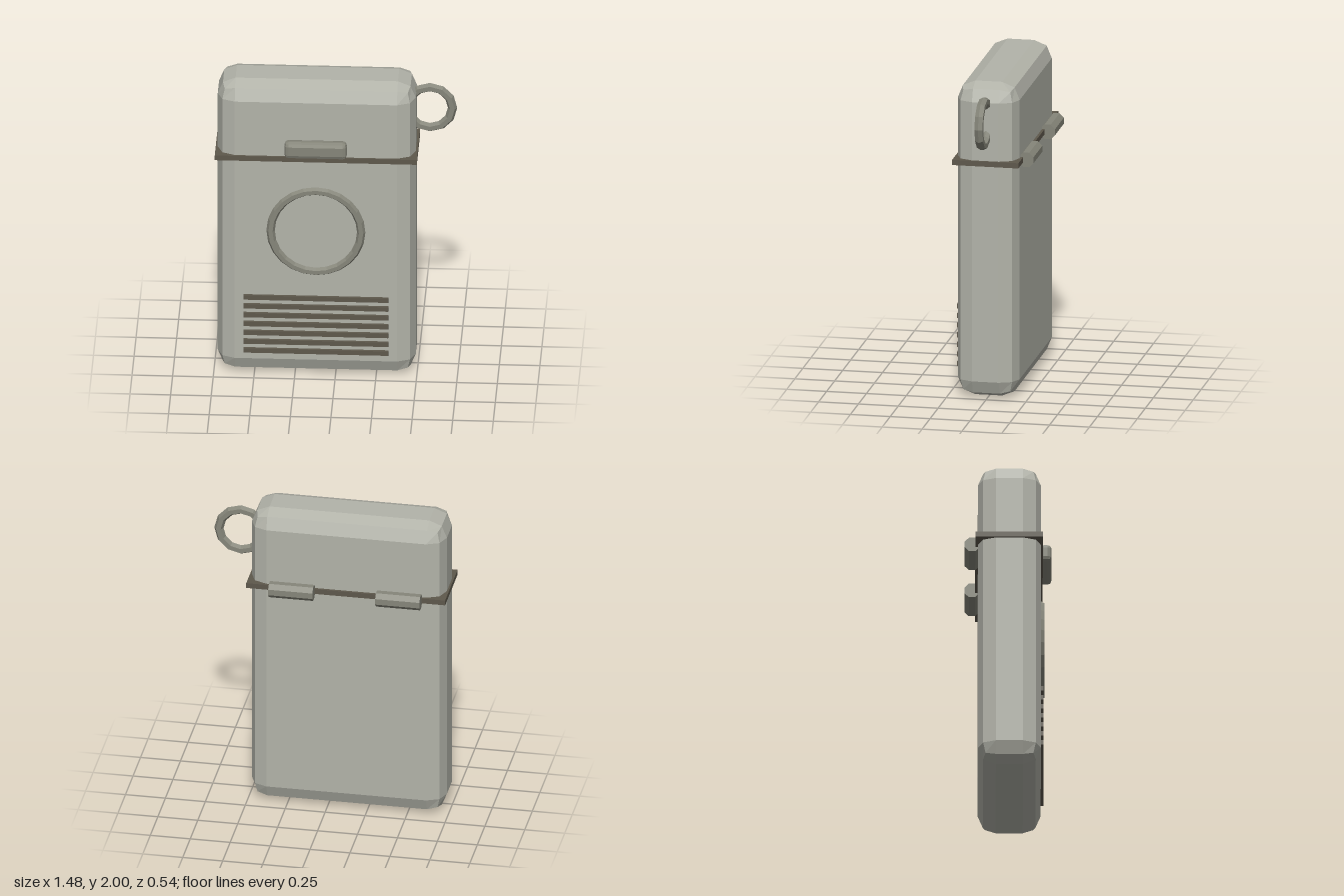
import * as THREE from 'three';
import { RoundedBoxGeometry } from 'three/addons/geometries/RoundedBoxGeometry.js';

export function createModel() {
  const group = new THREE.Group();
  const paint = (name, color) => {
    const m = new THREE.MeshStandardMaterial({ color, flatShading: true });
    m.name = name;
    return m;
  };
  const shell = paint('shellGrey', 0xb2b3a9);
  const trim = paint('trimGrey', 0x86867a);
  const dark = paint('darkBronze', 0x5e584c);

  const add = (name, geometry, material, x, y, z) => {
    const mesh = new THREE.Mesh(geometry, material);
    mesh.name = name;
    mesh.position.set(x, y, z);
    group.add(mesh);
    return mesh;
  };
  const cx = -0.12, cz = 0.006;

  // Case with chamfer-like rounded edges, and the seam band between lid and body
  add('case', new RoundedBoxGeometry(1.22, 2, 0.388, 1, 0.11), shell, cx, 1, cz);
  add('seamBand', new THREE.BoxGeometry(1.245, 0.033, 0.416), dark, cx, 1.503, 0.004);

  // Front latch
  add('latch', new RoundedBoxGeometry(0.385, 0.11, 0.075, 1, 0.026), trim, cx, 1.585, 0.229);

  // Round dial rim, half sunk into the front
  add('dialRim', new THREE.TorusGeometry(0.279, 0.026, 6, 24), trim, cx, 1.003, 0.2);

  // Grille slats
  for (let i = 0; i < 7; i++) {
    add('grilleSlat', new THREE.BoxGeometry(0.893, 0.03, 0.03), dark, cx, 0.172 + i * 0.0613, 0.202);
  }

  // Carrying ring on the side of the lid
  add('carryRing', new THREE.TorusGeometry(0.139, 0.029, 6, 12), trim, 0.573, 1.78, cz - 0.004);

  // Hinge barrels on the back
  for (const side of [-1, 1]) {
    const barrel = new THREE.CylinderGeometry(0.05, 0.05, 0.277, 8);
    barrel.rotateY(Math.PI / 8).rotateZ(Math.PI / 2);
    add('hinge', barrel, trim, cx + side * 0.335, 1.503, -0.223);
  }
  return group;
}
